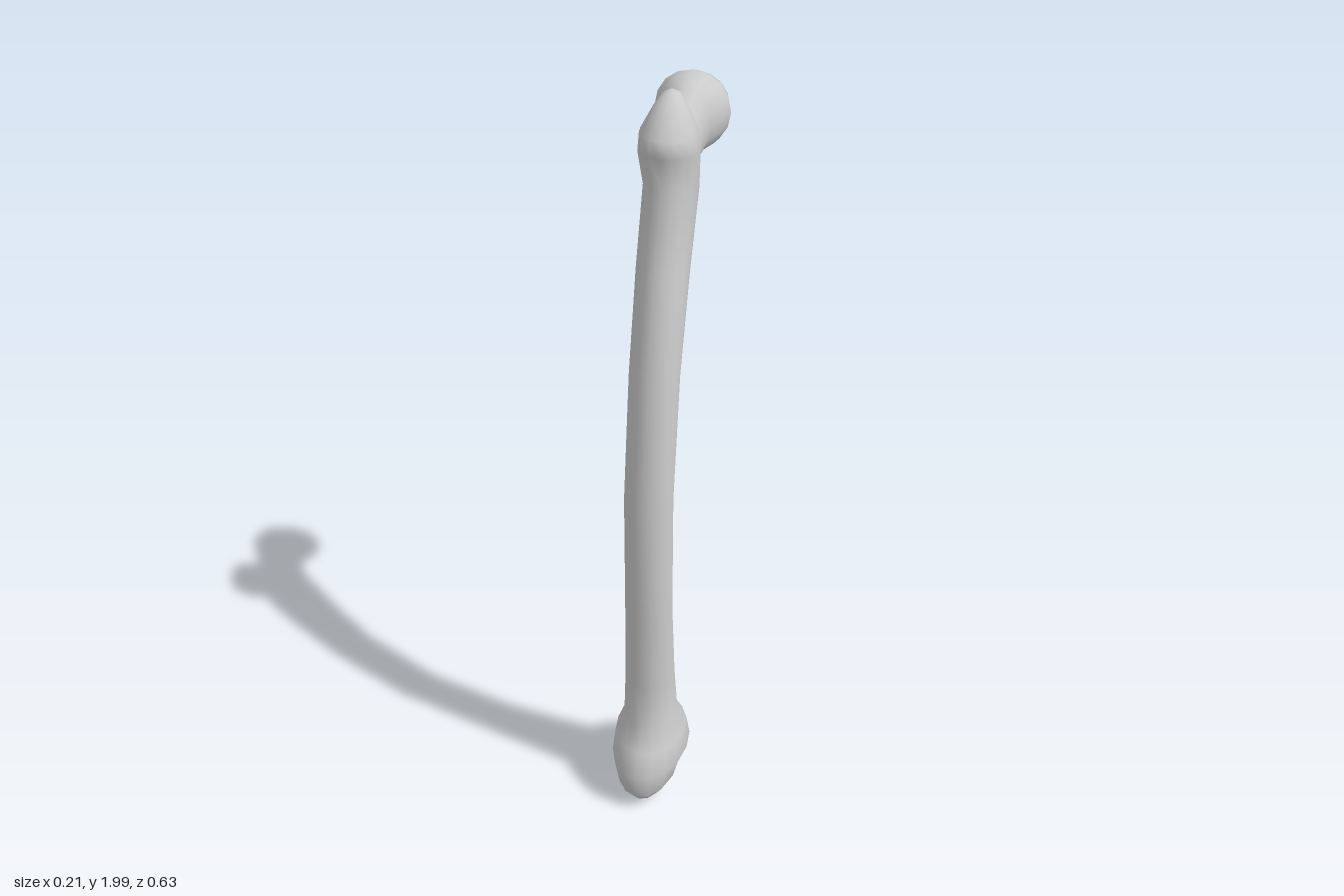
import * as THREE from 'three';
import { mergeVertices } from 'three/addons/utils/BufferGeometryUtils.js';

const SIDES = 16;

// Skin a row of elliptical sections. Each section: [z1, y1, z2, y2, halfWidth],
// two opposite points in the side plane plus the half width in x.
function loft(sections, bend = (p) => p) {
  const pos = [], idx = [];
  for (const [z1, y1, z2, y2, rx] of sections) {
    for (let j = 0; j < SIDES; j++) {
      const a = (j / SIDES) * Math.PI * 2, c = Math.cos(a) / 2;
      const p = bend(new THREE.Vector3(
        rx * Math.sin(a),
        (y1 + y2) / 2 + (y1 - y2) * c,
        (z1 + z2) / 2 + (z1 - z2) * c));
      pos.push(p.x, p.y, p.z);
    }
  }
  for (let i = 0; i < sections.length - 1; i++) {
    for (let j = 0; j < SIDES; j++) {
      const k = (j + 1) % SIDES;
      const a = i * SIDES + j, b = i * SIDES + k, c = a + SIDES, d = b + SIDES;
      idx.push(a, b, c, b, d, c);
    }
  }
  let geo = new THREE.BufferGeometry();
  geo.setAttribute('position', new THREE.Float32BufferAttribute(pos, 3));
  geo.setIndex(idx);
  geo = mergeVertices(geo, 1e-5); // closes the end points
  geo.computeVertexNormals();
  return geo;
}

// Lift the underside into a groove between the front and back knuckles
function groove(p) {
  if (p.y < 0.12) {
    const g = Math.exp(-(((p.z - 0.155) / 0.045) ** 2));
    p.y += (1 - p.y / 0.12) * g * (0.03 + 0.9 * Math.abs(p.x));
  }
  return p;
}

export function createModel() {
  const group = new THREE.Group();
  group.name = 'thighBone';
  const material = new THREE.MeshStandardMaterial({ color: 0xcccccc });
  const add = (name, geo) => {
    const mesh = new THREE.Mesh(geo, material);
    mesh.name = name;
    group.add(mesh);
  };

  // Knuckled lower end, bowed shaft and pointed upper knob
  add('shaft', loft([
    [0.155, 0.012, 0.155, 0.012, 0],
    [0.215, 0.008, 0.095, 0.008, 0.02],
    [0.25, 0.005, 0.06, 0.005, 0.036],
    [0.285, 0.02, 0.03, 0.02, 0.062],
    [0.315, 0.06, -0.005, 0.06, 0.088],
    [0.316, 0.13, -0.005, 0.13, 0.105],
    [0.287, 0.2, 0.033, 0.2, 0.097],
    [0.242, 0.26, 0.075, 0.26, 0.074],
    [0.235, 0.4, 0.092, 0.4, 0.068],
    [0.23, 0.63, 0.11, 0.63, 0.064],
    [0.22, 1.0, 0.105, 0.98, 0.064],
    [0.165, 1.34, 0.045, 1.31, 0.064],
    [0.1, 1.6, -0.045, 1.56, 0.065],
    [0.037, 1.79, -0.125, 1.74, 0.066],
    [0.06, 1.87, -0.11, 1.85, 0.073],
    [0.055, 1.91, -0.095, 1.91, 0.068],
    [0.0, 1.97, -0.082, 1.95, 0.042],
    [-0.03, 1.994, -0.068, 1.99, 0.02],
    [-0.048, 2.0, -0.048, 2.0, 0],
  ], groove));

  // Neck leaving the shaft and swelling into the round head
  add('headAndNeck', loft([
    [0.0, 1.72, 0.0, 1.72, 0],
    [0.0, 1.8, -0.03, 1.64, 0.048],
    [-0.06, 1.9, -0.095, 1.69, 0.058],
    [-0.11, 1.925, -0.143, 1.767, 0.052],
    [-0.155, 1.96, -0.175, 1.785, 0.065],
    [-0.2, 1.977, -0.205, 1.785, 0.088],
    [-0.235, 1.98, -0.235, 1.785, 0.096],
    [-0.28, 1.963, -0.28, 1.802, 0.082],
    [-0.308, 1.92, -0.306, 1.842, 0.046],
    [-0.317, 1.885, -0.317, 1.885, 0],
  ]));

  return group;
}
